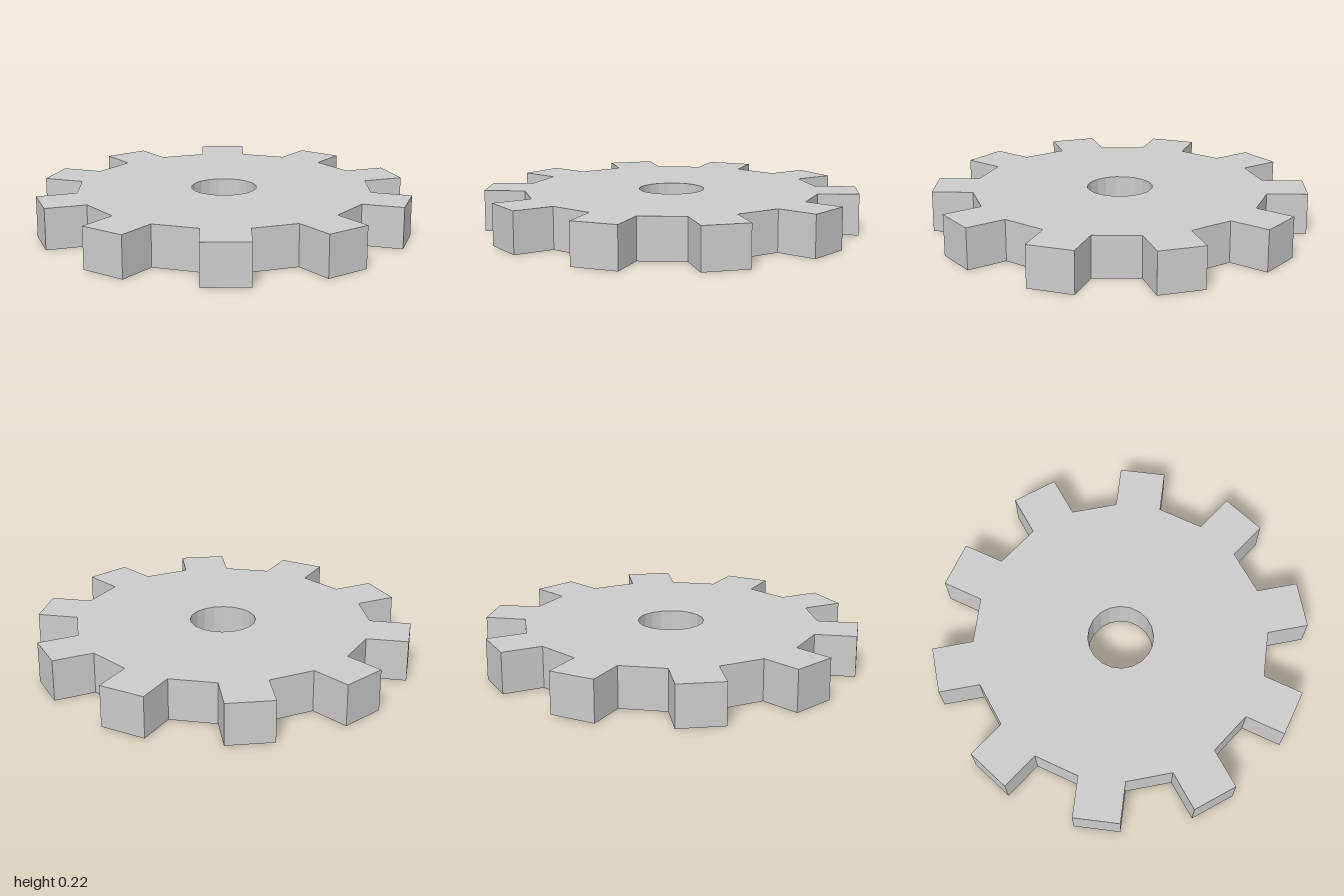
import * as THREE from 'three';

const TEETH = 10;
const ROOT = 0.785;   // radius of the toothless body
const TOOTH = 0.2177; // tooth length
const BORE = 0.175;
const HEIGHT = 0.22;

const polar = (r, a) => new THREE.Vector2(r * Math.cos(a), r * Math.sin(a));

export function createModel() {
  const group = new THREE.Group();
  group.name = 'gear';
  const step = Math.PI / TEETH;

  // Outline: every other side of a 20-gon is pushed straight out into a tooth
  const outline = [];
  for (let i = 0; i < TEETH; i++) {
    const a = 2 * i * step;
    const start = polar(ROOT, a);
    const end = polar(ROOT, a + step);
    const out = polar(TOOTH, a + step / 2);
    outline.push(start, start.clone().add(out), end.clone().add(out), end);
  }
  const shape = new THREE.Shape(outline);

  // Centre bore
  const bore = [];
  for (let i = 0; i < 2 * TEETH; i++) bore.push(polar(BORE, -i * step));
  shape.holes.push(new THREE.Path(bore));

  // Lay the extrusion flat on the ground
  const geometry = new THREE.ExtrudeGeometry(shape, { depth: HEIGHT, bevelEnabled: false });
  geometry.rotateX(Math.PI / 2).translate(0, HEIGHT, 0);

  const material = new THREE.MeshStandardMaterial({ color: 0xcccccc, flatShading: true });
  const wheel = new THREE.Mesh(geometry, material);
  wheel.name = 'toothedWheel';
  group.add(wheel);
  return group;
}
